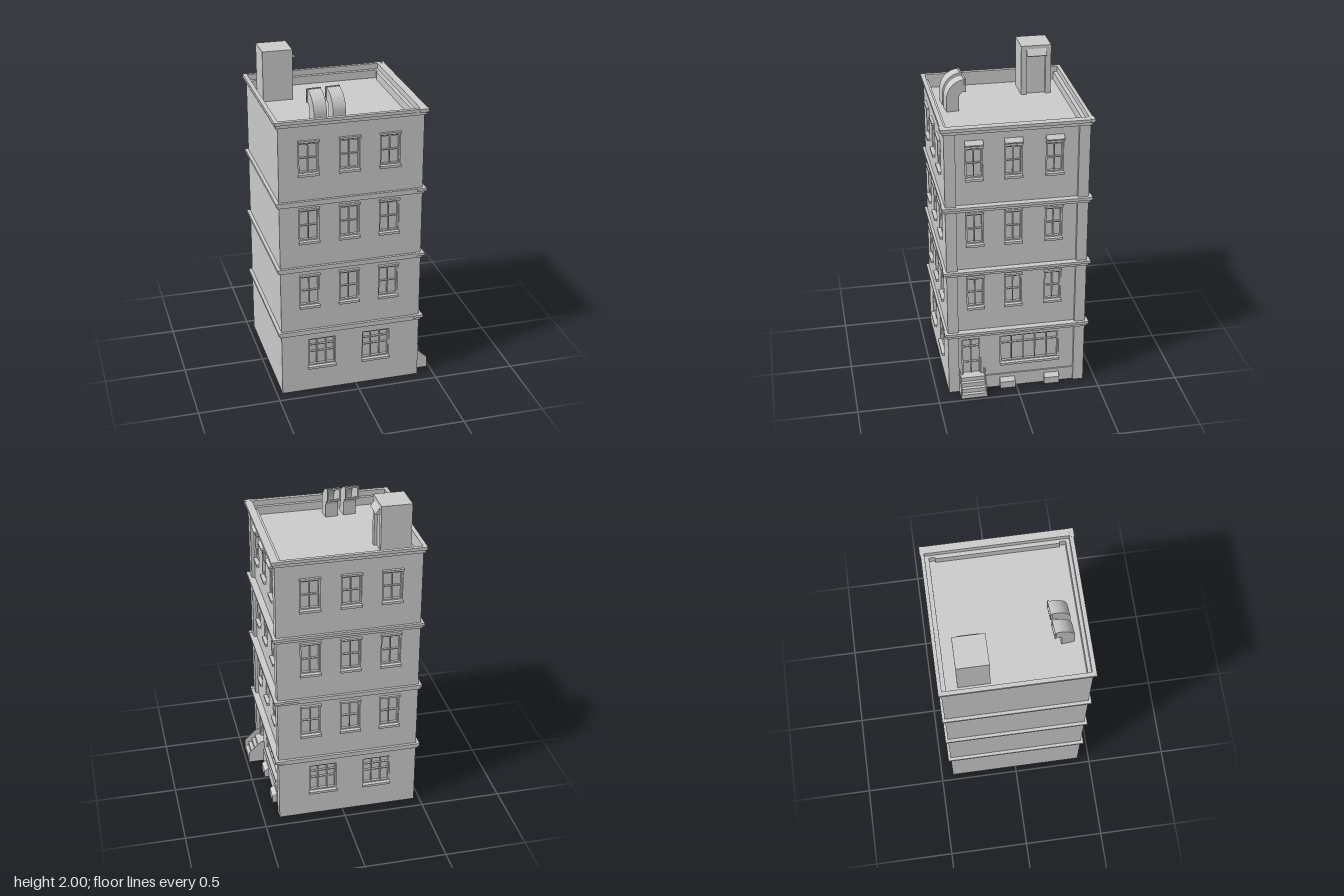
import * as THREE from 'three';

const mat = new THREE.MeshStandardMaterial({ color: 0xcccccc, flatShading: true, side: THREE.DoubleSide });

function mesh(parent, name, geometry) {
  const m = new THREE.Mesh(geometry, mat);
  m.name = name;
  parent.add(m);
  return m;
}

// Box given by its limits on each axis
function box(parent, name, x0, x1, y0, y1, z0, z1) {
  const m = mesh(parent, name, new THREE.BoxGeometry(x1 - x0, y1 - y0, z1 - z0));
  m.position.set((x0 + x1) / 2, (y0 + y1) / 2, (z0 + z1) / 2);
  return m;
}

const polygon = pts => new THREE.Shape(pts.map(p => new THREE.Vector2(...p)));
const rect = (x0, x1, y0, y1) => polygon([[x0, y0], [x1, y0], [x1, y1], [x0, y1]]);
const extrude = (shape, depth, curveSegments = 8) =>
  new THREE.ExtrudeGeometry(shape, { depth, bevelEnabled: false, curveSegments });

// Horizontal rectangular ring: limits are [x0, x1, z0, z1]
function ring(parent, name, outer, inner, y0, y1) {
  const flip = ([x0, x1, z0, z1]) => rect(x0, x1, -z1, -z0);
  const s = flip(outer);
  s.holes.push(flip(inner));
  const m = mesh(parent, name, extrude(s, y1 - y0));
  m.rotation.x = -Math.PI / 2;
  m.position.y = y0;
}

// (x, y) profile with its thickness running along z
function slab(parent, name, pts, z0, z1) {
  mesh(parent, name, extrude(polygon(pts), z1 - z0)).position.z = z0;
}

// Recessed window: glass, frame, glazing bars, sill and lintel
function windowUnit(parent, o) {
  const g = new THREE.Group();
  g.name = o.name;
  parent.add(g);
  const { u0, u1, v0, v1 } = o, t = 0.008;
  box(g, 'pane', u0, u1, v0, v1, -0.03, -0.024);
  box(g, 'frameSide', u0, u0 + t, v0, v1, -0.024, -0.008);
  box(g, 'frameSide', u1 - t, u1, v0, v1, -0.024, -0.008);
  box(g, 'frameTop', u0, u1, v1 - t, v1, -0.024, -0.008);
  box(g, 'frameBottom', u0, u1, v0, v0 + t, -0.024, -0.008);
  for (const c of o.cols) {
    const u = u0 + (u1 - u0) * c;
    box(g, 'verticalBar', u - 0.003, u + 0.003, v0, v1, -0.024, -0.013);
  }
  for (const r of o.rows) {
    const v = v0 + (v1 - v0) * r;
    box(g, 'horizontalBar', u0, u1, v - 0.003, v + 0.003, -0.024, -0.011);
  }
  if (o.sill) box(g, 'sill', u0 - 0.003, u1 + 0.003, v0 - 0.015, v0, -0.02, 0.016);
  if (o.lintel) box(g, 'lintel', u0 - 0.003, u1 + 0.003, v1 + 0.008, v1 + 0.02, -0.01, 0.016);
}

// Wall panel with openings, facing local +z
function wall(name, u0, u1, openings) {
  const g = new THREE.Group();
  g.name = name;
  const s = rect(u0, u1, 0, 1.74);
  for (const o of openings) s.holes.push(rect(o.u0, o.u1, o.v0, o.v1));
  mesh(g, 'wallPanel', extrude(s, 0.03)).position.z = -0.03;
  openings.forEach(o => windowUnit(g, o));
  return g;
}

// Three upper storeys of three sash windows
function upperWindows(centres, half) {
  const list = [];
  for (const [v0, v1] of [[0.592, 0.782], [1.02, 1.212], [1.447, 1.63]])
    for (const c of centres)
      list.push({ name: 'sashWindow', u0: c - half, u1: c + half, v0, v1, cols: [0.5], rows: [0.5], sill: true, lintel: true });
  return list;
}

const groundWindows = centres => centres.map(c => ({
  name: 'groundWindow', u0: c - 0.085, u1: c + 0.085, v0: 0.168, v1: 0.355,
  cols: [1 / 3, 2 / 3], rows: [0.5, 0.75], sill: true,
}));

// Curved square roof vent with an open mouth facing -z
function roofVent(x, z) {
  const g = new THREE.Group();
  g.name = 'roofVent';
  const base = -0.08, w = 0.078;
  const band = (r, t) => {
    const s = new THREE.Shape();
    s.moveTo(r, base);
    s.lineTo(r, 0);
    s.absarc(0, 0, r, 0, Math.PI / 2, false);
    s.lineTo(0, r - t);
    s.absarc(0, 0, r - t, Math.PI / 2, 0, true);
    s.lineTo(r - t, base);
    return s;
  };
  const add = (name, r, t, x0, depth) => {
    const m = mesh(g, name, extrude(band(r, t), depth));
    m.rotation.y = -Math.PI / 2;
    m.position.x = x0 + depth;
  };
  add('outerSkin', 0.115, 0.006, -w / 2, w);
  add('innerSkin', 0.046, 0.006, -w / 2, w);
  add('cheek', 0.115, 0.075, -w / 2, 0.006);
  add('cheek', 0.115, 0.075, w / 2 - 0.006, 0.006);
  // Flange round the mouth
  const f = rect(-w / 2 - 0.004, w / 2 + 0.004, 0.036, 0.119);
  f.holes.push(rect(-w / 2 + 0.006, w / 2 - 0.006, 0.046, 0.109));
  mesh(g, 'mouthFlange', extrude(f, 0.01)).position.z = -0.004;
  g.position.set(x, 1.77, z);
  g.rotation.y = 0.09;
  return g;
}

export function createModel() {
  const model = new THREE.Group();
  model.name = 'apartmentBuilding';

  // Front and back walls
  const columns = [-0.288, -0.045, 0.198], shop = [-0.215, 0.125];
  const front = wall('frontWall', -0.465, 0.36, [...upperWindows(columns, 0.06), ...groundWindows(shop)]);
  front.position.z = 0.425;
  const back = wall('backWall', -0.36, 0.465,
    [...upperWindows(columns.map(c => -c), 0.06), ...groundWindows(shop.map(c => -c))]);
  back.position.z = -0.425;
  back.rotation.y = Math.PI;

  // Entrance side, set back between corner piers
  const side = wall('entranceWall', -0.36, 0.36, [
    ...upperWindows([-0.25, -0.02, 0.222], 0.051),
    { name: 'shopWindow', u0: -0.1, u1: 0.268, v0: 0.172, v1: 0.36, cols: [0.2, 0.4, 0.6, 0.8], rows: [0.7], sill: true },
    { name: 'entranceDoor', u0: -0.338, u1: -0.222, v0: 0.1, v1: 0.36, cols: [0.5], rows: [0.35, 0.78] },
  ]);
  side.position.x = 0.38;
  side.rotation.y = Math.PI / 2;
  model.add(front, back, side);
  for (const s of [-1, 1])
    box(model, 'cornerPier', 0.36, 0.4, 0, 1.74, s > 0 ? 0.36 : -0.425, s > 0 ? 0.425 : -0.36);

  // Blank wall, base and roof
  box(model, 'blankWall', -0.465, -0.46, 0, 1.74, -0.425, 0.425);
  box(model, 'base', -0.46, 0.37, 0, 0.01, -0.42, 0.42);
  box(model, 'roof', -0.46, 0.37, 1.67, 1.69, -0.42, 0.42);
  const inner = [-0.46, 0.374, -0.419, 0.416];
  ring(model, 'parapet', [-0.464, 0.379, -0.424, 0.424], inner, 1.685, 1.77);

  // Stepped string courses and the roof cornice
  for (const [y, h] of [[0.396, 0.034], [0.824, 0.032], [1.247, 0.034], [1.737, 0.038]]) {
    const mid = y + h * 0.5;
    ring(model, 'corniceLower', [-0.476, 0.411, -0.434, 0.434], inner, y, mid);
    ring(model, 'corniceUpper', [-0.485, 0.42, -0.441, 0.441], inner, mid, y + h);
    for (const s of [-1, 1])
      box(model, 'corniceCorner', 0.365, 0.421, mid, y + h + 0.001, s > 0 ? 0.42 : -0.446, s > 0 ? 0.446 : -0.42);
  }

  // Small sloped hoods over the top entrance-side windows
  for (const z of [0.25, 0.02, -0.222])
    slab(model, 'windowHood', [[0.375, 1.655], [0.405, 1.655], [0.405, 1.662], [0.375, 1.688]], z - 0.053, z + 0.053);

  // Plinth with cellar hatches
  box(model, 'plinth', 0.37, 0.388, 0, 0.09, -0.36, 0.2);
  for (const z of [0.058, -0.222])
    slab(model, 'cellarHatch', [[0.38, 0], [0.415, 0], [0.415, 0.045], [0.385, 0.068], [0.38, 0.068]], z - 0.047, z + 0.047);

  // Entrance steps between sloped cheeks
  const stairs = new THREE.Group();
  stairs.name = 'entranceSteps';
  model.add(stairs);
  [0.485, 0.463, 0.44, 0.418].forEach((x, i) =>
    box(stairs, 'step', 0.37, x - 0.002, 0, 0.027 * (i + 1), 0.203, 0.357));
  for (const z of [0.198, 0.354])
    slab(stairs, 'stepCheek', [[0.37, 0], [0.485, 0], [0.485, 0.07], [0.402, 0.148], [0.37, 0.148]], z, z + 0.007);

  // Roof stair hut with a recessed door and a hood
  const hut = new THREE.Group();
  hut.name = 'roofHut';
  model.add(hut);
  box(hut, 'hutBody', -0.42, -0.255, 1.68, 2, -0.33, -0.145);
  box(hut, 'hutJamb', -0.255, -0.237, 1.68, 2, -0.33, -0.295);
  box(hut, 'hutJamb', -0.255, -0.237, 1.68, 2, -0.18, -0.145);
  box(hut, 'hutHeader', -0.255, -0.237, 1.93, 2, -0.295, -0.18);
  slab(hut, 'hutHood', [[-0.24, 1.985], [-0.24, 1.975], [-0.217, 1.938], [-0.212, 1.942]], -0.298, -0.178);
  for (const z of [-0.298, -0.181])
    slab(hut, 'hoodCheek', [[-0.24, 1.985], [-0.24, 1.938], [-0.213, 1.942]], z, z + 0.003);

  model.add(roofVent(-0.208, 0.238), roofVent(-0.094, 0.23));
  return model;
}
